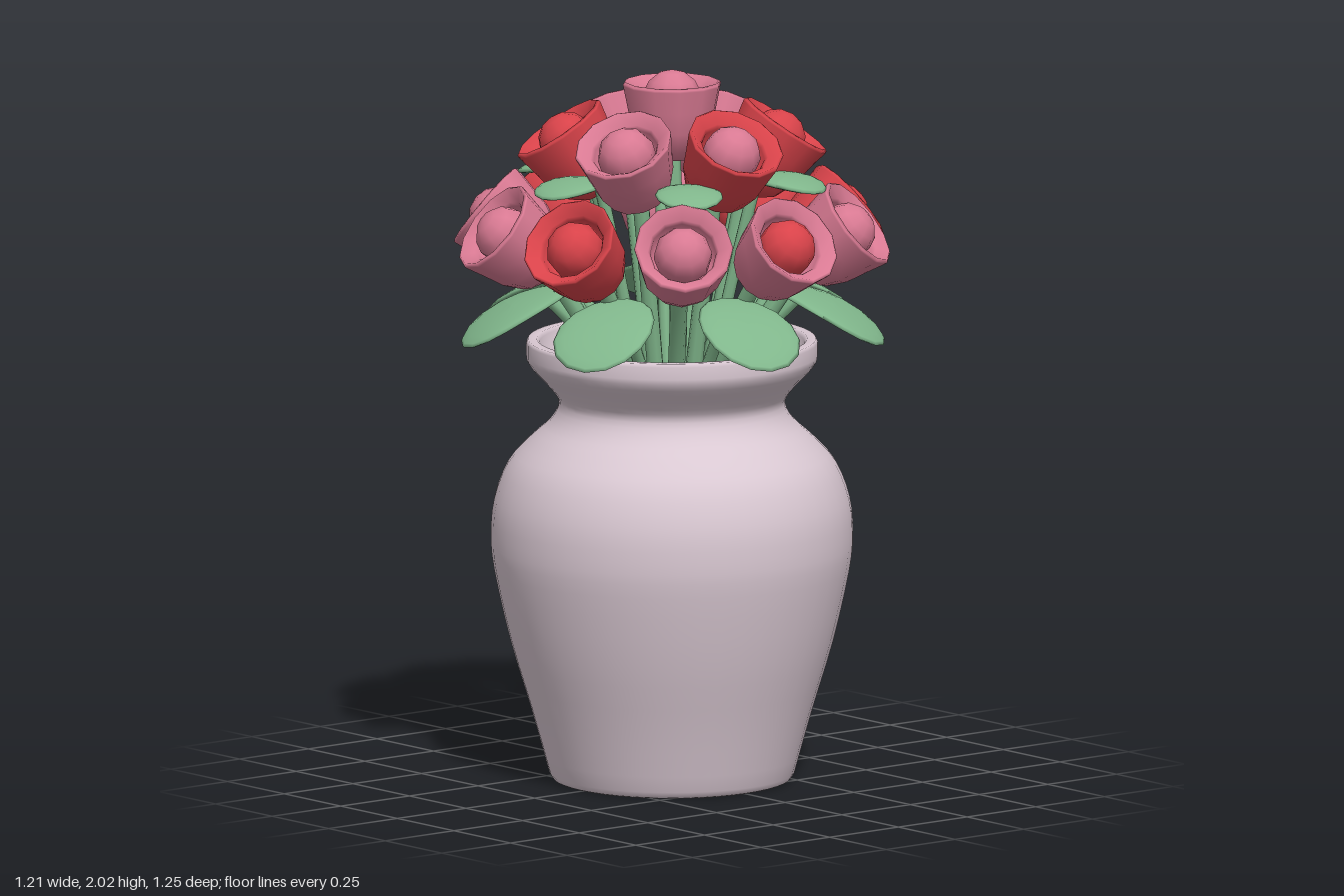
import * as THREE from 'three';

const mat = (name, color) => {
  const m = new THREE.MeshStandardMaterial({ color });
  m.name = name;
  return m;
};

const lathe = (points, sides) =>
  new THREE.LatheGeometry(points.map(([r, y]) => new THREE.Vector2(r, y)), sides);

// Flattened ellipsoid that droops toward +z and widens slightly at the tip
function leafGeometry(width, length, droop) {
  const g = new THREE.SphereGeometry(1, 16, 10);
  const p = g.attributes.position;
  for (let i = 0; i < p.count; i++) {
    const x = p.getX(i), y = p.getY(i), z = p.getZ(i);
    p.setXYZ(i, x * (width / 2) * (1 + 0.12 * z), y * 0.018 - droop * z * z, z * length / 2);
  }
  g.computeVertexNormals();
  return g;
}

export function createModel() {
  const model = new THREE.Group();
  const clay = mat('mauve clay', 0xd9c8d2);
  const green = mat('leaf green', 0x80b68b);
  const pink = mat('rose pink', 0xd97a93);
  const red = mat('rose red', 0xd9434a);

  const add = (parent, name, geometry, material) => {
    const mesh = new THREE.Mesh(geometry, material);
    mesh.name = name;
    parent.add(mesh);
    return mesh;
  };

  // Vase: outer wall, rim, then inner wall
  const wall = new THREE.SplineCurve([
    [0.345, 0.02], [0.395, 0.2], [0.455, 0.4], [0.5, 0.6], [0.509, 0.7], [0.5, 0.8],
    [0.462, 0.9], [0.4, 0.97], [0.345, 1.02], [0.318, 1.07], [0.335, 1.11], [0.395, 1.175],
  ].map(([r, y]) => new THREE.Vector2(r, y))).getPoints(33).map(v => [v.x, v.y]);
  add(model, 'vase', lathe([
    [0, 0], [0.325, 0], [0.335, 0.004], ...wall,
    [0.408, 1.195], [0.41, 1.21], [0.41, 1.245], [0.405, 1.255],
    [0.38, 1.255], [0.372, 1.245], [0.36, 1.19], [0.29, 1.1], [0.28, 1.06], [0.36, 0.95],
    [0.46, 0.75], [0.45, 0.55], [0.31, 0.06], [0, 0.05],
  ], 48), clay);

  // Shared flower parts, with the origin at the middle of the rim
  const cup = lathe([
    [0, -0.22], [0.05, -0.215], [0.09, -0.185], [0.115, -0.13], [0.126, -0.07],
    [0.139, -0.006], [0.139, 0], [0.132, 0.005], [0.1, -0.02], [0.093, -0.03], [0.085, -0.12], [0, -0.13],
  ], 12);
  const bud = new THREE.SphereGeometry(0.083, 10, 7);

  // Stem bending outward from the vase to a point at radius r, height y
  function addStem(parent, r, y, thickness) {
    const curve = new THREE.QuadraticBezierCurve3(
      new THREE.Vector3(0, 0.75, 0.04),
      new THREE.Vector3(0, 1.2, 0.04 + r * 0.3),
      new THREE.Vector3(0, y, r));
    add(parent, 'stem', new THREE.TubeGeometry(curve, 10, thickness, 8), green);
  }

  function addFlower(angle, r, y, tilt, petalMat, budMat = petalMat) {
    const arm = new THREE.Group();
    arm.name = 'flowerBranch';
    arm.rotation.y = THREE.MathUtils.degToRad(angle);
    model.add(arm);
    const t = THREE.MathUtils.degToRad(tilt);
    const flower = new THREE.Group();
    flower.name = 'flower';
    flower.position.set(0, y, r);
    flower.rotation.x = t;
    arm.add(flower);
    add(flower, 'petalCup', cup, petalMat);
    add(flower, 'bud', bud, budMat).position.y = -0.045;
    addStem(arm, r - 0.2 * Math.sin(t), y - 0.2 * Math.cos(t), 0.024);
  }

  // Crown, middle ring and outer ring of flowers
  addFlower(0, 0, 1.985, 0, pink);
  [[red, pink], [red], [pink], [pink], [red], [pink]].forEach((c, i) =>
    addFlower(i * 60 - 5, 0.32, 1.86, 34, ...c));
  [[pink, red], [pink], [red], [red], [pink], [red], [pink], [pink], [red], [pink]].forEach((c, i) =>
    addFlower(i * 36, 0.54, 1.61, 52, ...c));

  // Rings of leaves on their own stems
  function addLeaves(count, offset, r, y, slope, geometry, name) {
    for (let i = 0; i < count; i++) {
      const arm = new THREE.Group();
      arm.name = name + 'Branch';
      arm.rotation.y = THREE.MathUtils.degToRad(offset + i * 360 / count);
      model.add(arm);
      const leaf = add(arm, name, geometry, green);
      leaf.position.set(0, y, r);
      leaf.rotation.x = THREE.MathUtils.degToRad(slope);
      addStem(arm, r - 0.1, y + 0.1 * Math.tan(leaf.rotation.x) - 0.02, 0.018);
    }
  }
  addLeaves(7, -12, 0.46, 1.355, 27, leafGeometry(0.28, 0.35, 0.02), 'lowerLeaf');
  addLeaves(6, 28, 0.355, 1.73, 7, leafGeometry(0.19, 0.22, 0.012), 'upperLeaf');

  return model;
}
